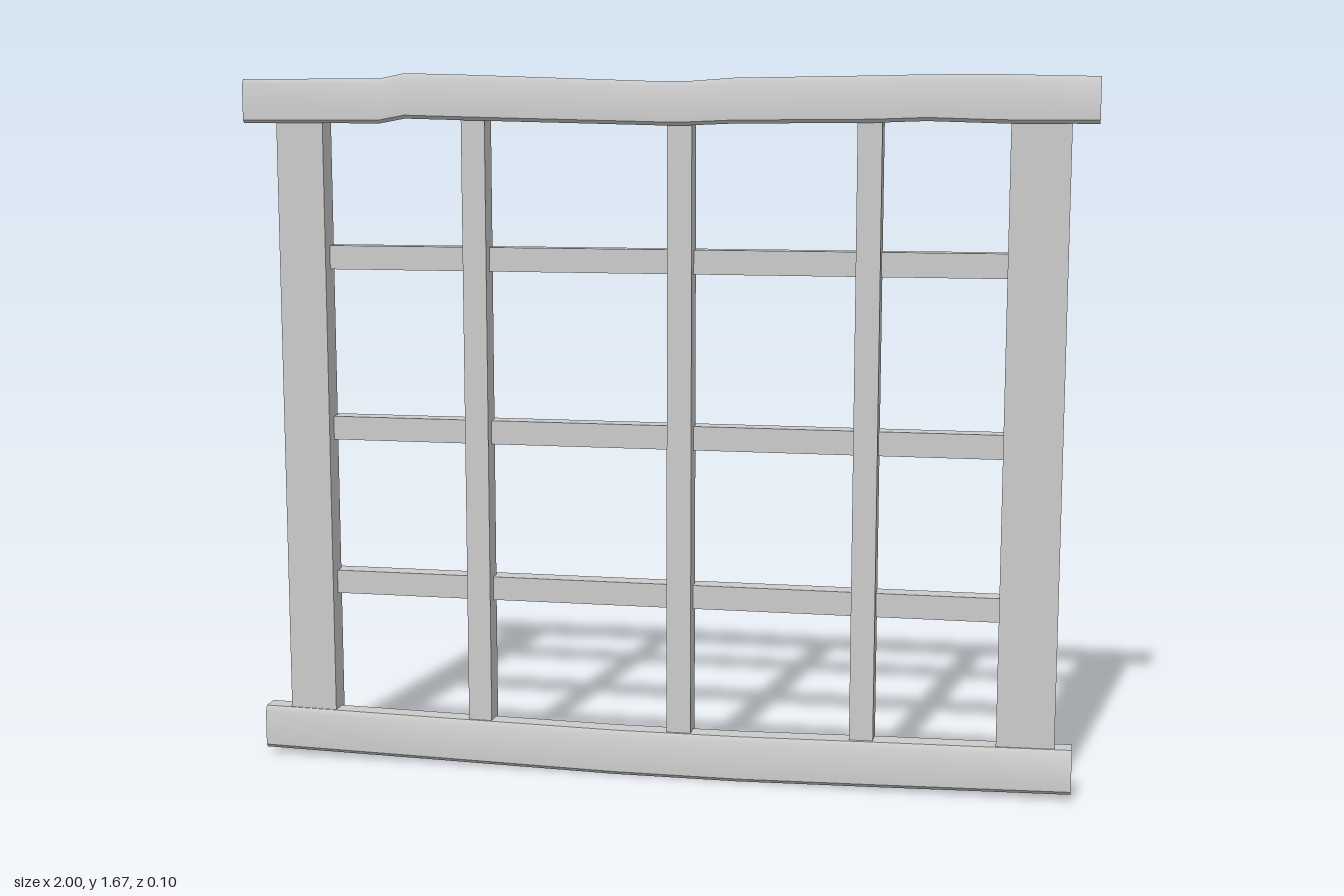
import * as THREE from 'three';
import { toCreasedNormals } from 'three/addons/utils/BufferGeometryUtils.js';

const material = new THREE.MeshStandardMaterial({ color: 0xcccccc, side: THREE.DoubleSide });

function addMesh(group, name, geometry) {
  const mesh = new THREE.Mesh(geometry, material);
  mesh.name = name;
  group.add(mesh);
  return mesh;
}

// Box with its back face left open
function openBox(x0, x1, y0, y1, z0, z1) {
  const g = new THREE.BoxGeometry(x1 - x0, y1 - y0, z1 - z0);
  g.setIndex(Array.from(g.index.array).slice(0, 30));
  g.clearGroups();
  g.translate((x0 + x1) / 2, (y0 + y1) / 2, (z0 + z1) / 2);
  return g;
}

// Open-backed rail lofted along x; stations are [x, bottom, top, front]
function railGeometry(stations, back, bottomLift) {
  const positions = [];
  const index = [];
  const n = 6;
  for (const [x, bottom, top, front] of stations) {
    const section = [
      [top, back], [top, front - 0.008], [top - 0.012, front],
      [bottom + 0.008, front], [bottom, front - 0.007], [bottom + bottomLift, back],
    ];
    for (const [y, z] of section) positions.push(x, y, z);
  }
  const last = (stations.length - 1) * n;
  for (let i = 0; i < last; i += n) {
    for (let j = 0; j < n - 1; j++) {
      const a = i + j, b = a + 1, c = b + n, d = a + n;
      index.push(a, b, c, a, c, d);
    }
  }
  // End caps
  for (let j = 1; j < n - 1; j++) {
    index.push(0, j + 1, j, last, last + j, last + j + 1);
  }
  const g = new THREE.BufferGeometry();
  g.setAttribute('position', new THREE.Float32BufferAttribute(positions, 3));
  g.setIndex(index);
  return toCreasedNormals(g, 0.6);
}

export function createModel() {
  const model = new THREE.Group();
  model.name = 'latticeFrame';

  // Slightly warped top and bottom rails
  addMesh(model, 'topRail', railGeometry([
    [-1, 1.556, 1.66, 0.039], [-0.66, 1.556, 1.66, 0.039],
    [-0.6, 1.567, 1.672, 0.039], [-0.45, 1.563, 1.668, 0.041],
    [0, 1.552, 1.652, 0.04], [0.08, 1.552, 1.652, 0.04],
    [0.18, 1.556, 1.659, 0.039], [0.5, 1.558, 1.663, 0.038],
    [0.62, 1.562, 1.665, 0.046], [0.78, 1.557, 1.665, 0.043],
    [1, 1.556, 1.66, 0.039],
  ], -0.013, 0.025));
  addMesh(model, 'bottomRail', railGeometry([
    [-0.985, 0.018, 0.124, 0.041], [-0.55, 0.01, 0.117, 0.041],
    [-0.1, 0.002, 0.111, 0.043], [0.2, 0.002, 0.112, 0.043],
    [0.55, 0.01, 0.119, 0.046], [0.98, 0.018, 0.124, 0.041],
  ], -0.013, 0));

  // Wide side posts and thin uprights
  const uprights = [
    ['rightPost', -0.92, -0.805], ['rightUpright', -0.465, -0.408],
    ['middleUpright', 0.026, 0.084], ['leftUpright', 0.464, 0.52],
    ['leftPost', 0.806, 0.94],
  ];
  for (const [name, x0, x1] of uprights) {
    const wide = name.endsWith('Post');
    addMesh(model, name, openBox(x0, x1, 0.04, 1.63, -0.03, wide ? 0.03 : 0.028));
  }

  // Crossbars set behind the uprights
  [0.41, 0.793, 1.208].forEach((y, i) => {
    addMesh(model, `crossbar${i + 1}`, openBox(-0.88, 0.88, y, y + 0.057, -0.053, -0.002));
  });

  return model;
}
